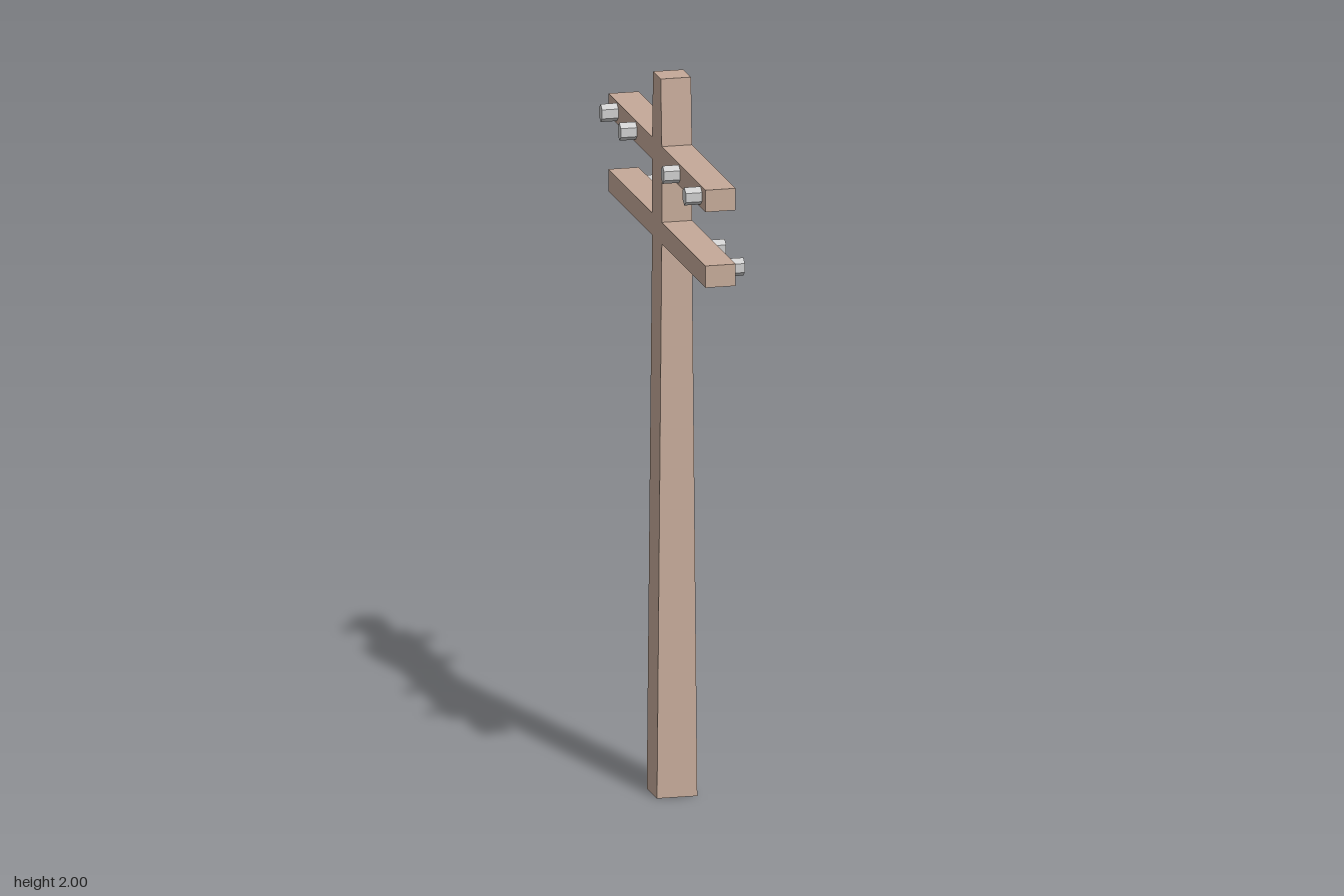
import * as THREE from 'three';

const wood = new THREE.MeshStandardMaterial({ color: 0xc4a998, flatShading: true });
const grey = new THREE.MeshStandardMaterial({ color: 0xcccccc, flatShading: true });

// Pole cross-sections: [height, half width in x, half depth in z]
const POLE = [[0, 0.056, 0.056], [1.543, 0.042, 0.053], [1.815, 0.042, 0.053], [2, 0.042, 0.042]];
const ARM_HALF = 0.042;

function createPole() {
  const rows = POLE.length - 1;
  const geo = new THREE.BoxGeometry(2, rows, 2, 1, rows, 1);
  const p = geo.attributes.position;
  for (let i = 0; i < p.count; i++) {
    const [y, hx, hz] = POLE[Math.round(p.getY(i) + rows / 2)];
    p.setXYZ(i, Math.sign(p.getX(i)) * hx, y, Math.sign(p.getZ(i)) * hz);
  }
  geo.computeVertexNormals();
  const pole = new THREE.Mesh(geo, wood);
  pole.name = 'pole';
  return pole;
}

// Crossarm with hexagonal insulators on one side (side = +1 or -1 in x)
function createCrossarm(name, y, side, pegY, pegs) {
  const group = new THREE.Group();
  group.name = name;
  const beam = new THREE.Mesh(new THREE.BoxGeometry(ARM_HALF * 2, 0.061, 1.062), wood);
  beam.name = 'beam';
  beam.position.y = y;
  group.add(beam);

  for (const [z, halfWidth] of pegs) {
    const geo = new THREE.CylinderGeometry(1, 1, 0.055, 6);
    geo.rotateZ(Math.PI / 2);
    // Hexagon with a corner up, slightly narrower than tall
    const p = geo.attributes.position;
    const swap = Math.abs(p.getY(0)) < 0.9 && Math.abs(p.getZ(0)) > 0.9;
    if (swap) geo.rotateX(Math.PI / 2);
    geo.scale(1, 0.025, halfWidth / 0.866);
    const peg = new THREE.Mesh(geo, grey);
    peg.name = 'insulator';
    peg.position.set(side * 0.0595, pegY, z);
    group.add(peg);
  }
  return group;
}

export function createModel() {
  const model = new THREE.Group();
  model.name = 'utilityPole';
  model.add(createPole());
  model.add(createCrossarm('upperCrossarm', 1.784, -1, 1.786,
    [[-0.439, 0.016], [-0.234, 0.016], [0.239, 0.016], [0.476, 0.018]]));
  model.add(createCrossarm('lowerCrossarm', 1.573, 1, 1.57,
    [[-0.476, 0.018], [-0.242, 0.016], [0.234, 0.016], [0.438, 0.016]]));
  return model;
}
